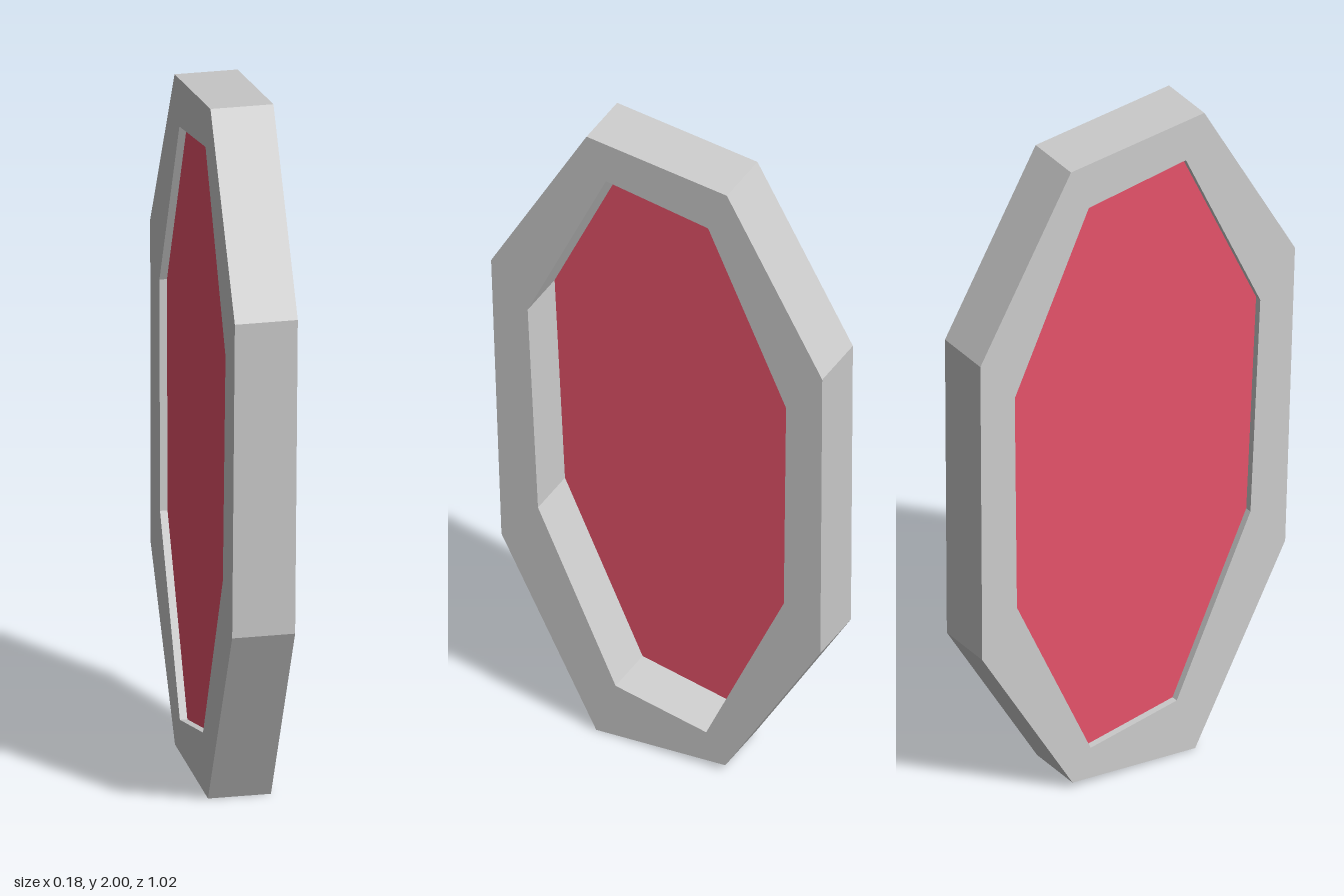
import * as THREE from 'three';

// Octagon corners as [z, y], clockwise from the top
const OUTER = [[0.217, 2], [-0.217, 1.952], [-0.512, 1.432], [-0.506, 0.503],
  [-0.212, 0.02], [0.187, 0], [0.48, 0.562], [0.512, 1.478]];
const INNER = [[0.157, 1.87], [-0.159, 1.821], [-0.4, 1.297], [-0.393, 0.632],
  [-0.153, 0.111], [0.127, 0.17], [0.367, 0.69], [0.399, 1.349]];

const HALF_DEPTH = 0.088;
const PANE_X = -0.067;

// Shapes are drawn with -z to the right, then turned to face +x
const toPoints = (corners) => corners.map(([z, y]) => new THREE.Vector2(-z, y));

export function createModel() {
  const model = new THREE.Group();
  model.name = 'octagonalWindow';

  // Thick frame; the opening runs the other way round so its walls face inward
  const outline = new THREE.Shape(toPoints(OUTER));
  outline.holes.push(new THREE.Path(toPoints(INNER).reverse()));
  const frameGeometry = new THREE.ExtrudeGeometry(outline, { depth: HALF_DEPTH * 2, bevelEnabled: false });
  frameGeometry.translate(0, 0, -HALF_DEPTH).rotateY(Math.PI / 2);
  const frame = new THREE.Mesh(frameGeometry,
    new THREE.MeshStandardMaterial({ color: 0xcccccc, flatShading: true }));
  frame.name = 'frame';
  model.add(frame);

  // Thin coloured pane, set close to the -x side of the frame
  const paneGeometry = new THREE.ShapeGeometry(new THREE.Shape(toPoints(INNER)));
  paneGeometry.rotateY(Math.PI / 2).translate(PANE_X, 0, 0);
  const pane = new THREE.Mesh(paneGeometry,
    new THREE.MeshStandardMaterial({ color: 0xe6526a, side: THREE.DoubleSide }));
  pane.name = 'pane';
  model.add(pane);

  return model;
}
